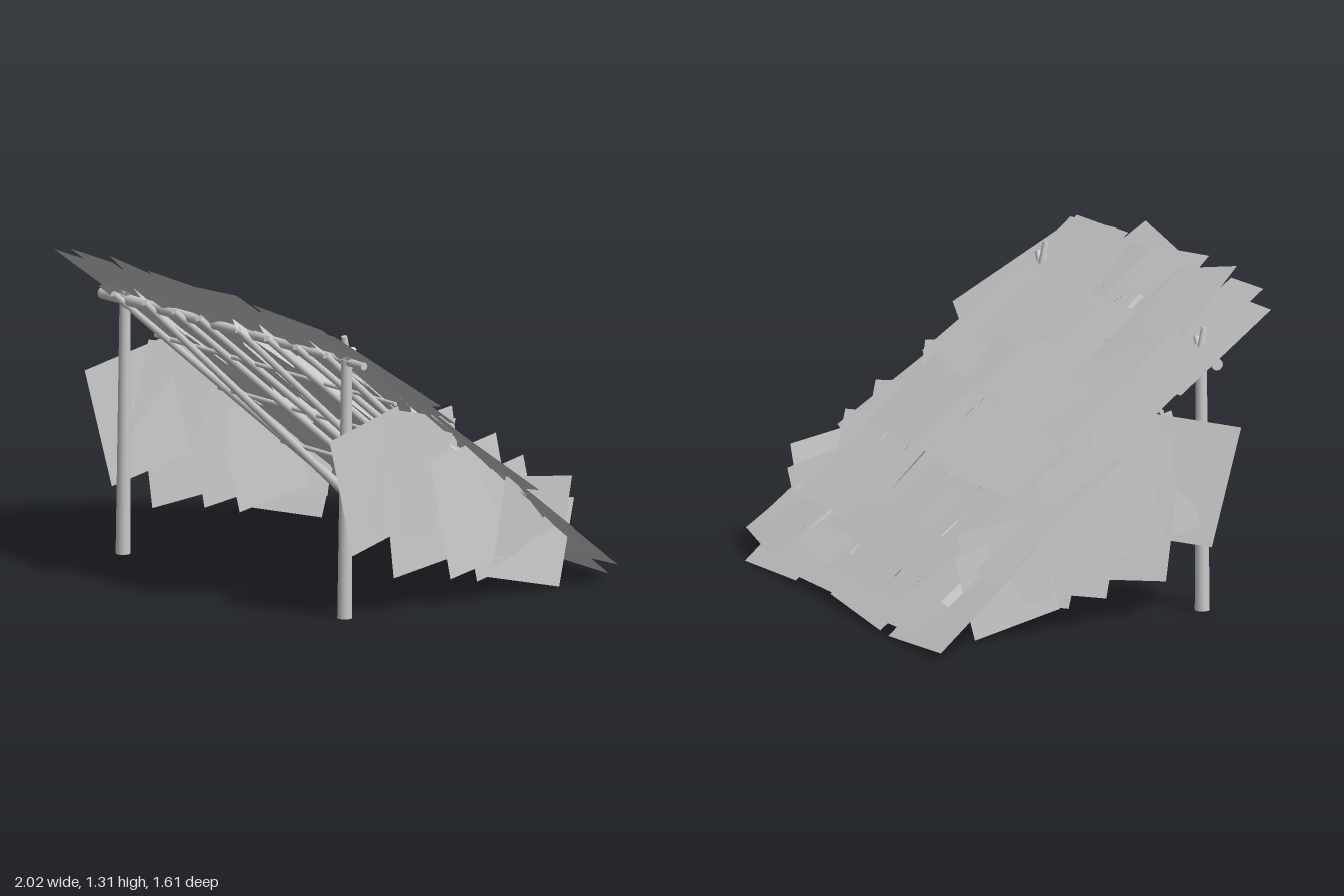
import * as THREE from 'three';

const wood = new THREE.MeshStandardMaterial({ color: 0xcccccc });
const thatch = new THREE.MeshStandardMaterial({ color: 0xcccccc, side: THREE.DoubleSide });
const DEG = Math.PI / 180;
const SLOPE = Math.atan(0.8);

// small seeded generator, values in -1..1
let seed = 11;
function jitter() {
  seed = (seed * 16807) % 2147483647;
  return (seed / 2147483647) * 2 - 1;
}

// tapered pole between two points
function pole(name, a, b, rA, rB = rA) {
  const from = new THREE.Vector3(...a), to = new THREE.Vector3(...b);
  const dir = to.clone().sub(from);
  const mesh = new THREE.Mesh(new THREE.CylinderGeometry(rB, rA, dir.length(), 12), wood);
  mesh.name = name;
  mesh.position.copy(from).add(to).multiplyScalar(0.5);
  mesh.quaternion.setFromUnitVectors(new THREE.Vector3(0, 1, 0), dir.normalize());
  return mesh;
}

// sheet lying on the roof; z and depth are measured on the ground plan, angles in degrees
function roofSheet(name, x, z, width, depth, turn, lift, pitch, roll) {
  const geo = new THREE.PlaneGeometry(width, depth / Math.cos(SLOPE)).rotateX(-Math.PI / 2);
  const mesh = new THREE.Mesh(geo, thatch);
  mesh.name = name;
  mesh.rotation.set(pitch * DEG, turn * DEG, roll * DEG);
  mesh.position.set(x, lift + 0.03 * (1 - (z / 0.8) ** 2), z / Math.cos(SLOPE));
  return mesh;
}

export function createModel() {
  const model = new THREE.Group();
  model.name = 'leanToShelter';

  // forked front posts
  for (const x of [-0.73, 0.73]) {
    const post = new THREE.Group();
    post.name = 'forkedPost';
    post.add(
      pole('postTrunk', [x - 0.015, 0.01, 0.505], [x + 0.005, 1.07, 0.51], 0.03, 0.022),
      pole('forkProng', [x, 1.03, 0.5], [x + 0.008, 1.165, 0.525], 0.021, 0.012),
      pole('forkProng', [x, 1.03, 0.51], [x + 0.05, 1.12, 0.51], 0.015, 0.012),
    );
    model.add(post);
  }

  // ridge beam resting in the forks
  model.add(pole('ridgeBeam', [-0.875, 1.05, 0.51], [0.85, 1.06, 0.51], 0.024, 0.016));

  // sloping rafters
  [-0.71, -0.505, -0.31, -0.15, 0.11, 0.3, 0.49, 0.69].forEach((x, i) => {
    const end = i % 3 === 1 ? [x + 0.01, 0.07, -0.53] : [x + 0.01, 0.06, -0.655];
    model.add(pole('rafter', end, [x, 1.085, 0.58], 0.018, 0.014));
  });

  // thin cross battens
  for (const [y, z] of [[0.865, 0.3], [0.615, 0.0], [0.355, -0.31]]) {
    model.add(pole('batten', [-0.8, y - 0.003, z], [0.78, y, z], 0.01, 0.008));
  }

  // overlapping roof sheets, low row first: x, z, width, depth, turn
  const roof = new THREE.Group();
  roof.name = 'thatchRoof';
  roof.position.y = 0.66;
  roof.rotation.x = -SLOPE;
  const rows = [
    [[-0.77, -0.56, 0.43, 0.46, 5], [-0.52, -0.56, 0.4, 0.42, 3], [-0.28, -0.56, 0.52, 0.46, -4],
      [0.14, -0.55, 0.44, 0.44, 2], [0.53, -0.58, 0.42, 0.44, 4], [0.69, -0.53, 0.34, 0.42, -10]],
    [[-0.76, -0.27, 0.4, 0.46, 4], [-0.3, -0.37, 0.5, 0.46, 3], [0.15, -0.36, 0.5, 0.46, -4],
      [0.6, -0.31, 0.46, 0.46, 3], [0.72, -0.11, 0.34, 0.4, -12]],
    [[-0.76, -0.14, 0.42, 0.42, -4], [-0.28, -0.01, 0.54, 0.46, 4], [0.12, 0, 0.5, 0.46, -4],
      [0.58, 0, 0.5, 0.46, -3], [-0.81, 0.04, 0.26, 0.42, -10]],
    [[-0.73, 0.22, 0.38, 0.42, 5], [-0.35, 0.25, 0.46, 0.46, -4], [0.05, 0.28, 0.46, 0.46, 3],
      [0.36, 0.24, 0.5, 0.44, 2], [0.62, 0.27, 0.4, 0.42, -5]],
    [[-0.73, 0.53, 0.37, 0.4, 4], [-0.62, 0.565, 0.26, 0.43, 5], [-0.39, 0.55, 0.33, 0.46, 20],
      [-0.08, 0.56, 0.36, 0.43, 12], [0.22, 0.565, 0.42, 0.44, -7], [0.6, 0.505, 0.44, 0.44, 4],
      [0.75, 0.41, 0.35, 0.42, -20]],
  ];
  const rowLift = [-0.009, 0.003, 0.006, 0.008, 0.002];
  rows.forEach((row, r) => row.forEach(([x, z, w, d, turn]) => {
    roof.add(roofSheet('roofSheet', x, z, w, d, turn, rowLift[r] + 0.007 * jitter(),
      r * 0.5 + 1.5 * jitter(), 2 * jitter()));
  }));

  // loose second layer beneath the sheets
  for (let r = 0; r < 5; r++) {
    for (let c = 0; c < 5; c++) {
      roof.add(roofSheet('underSheet', -0.64 + c * 0.32 + 0.04 * jitter(), -0.5 + r * 0.255,
        0.36, 0.4, 8 * jitter(), -0.008, 2.5 * jitter(), 3 * jitter()));
    }
  }

  // twisted thatch strands under the sheets
  for (let r = 0; r < 6; r++) {
    for (let c = 0; c < 10; c++) {
      roof.add(roofSheet('thatchStrand', -0.76 + c * 0.168 + 0.03 * jitter(), -0.5 + r * 0.19,
        0.09, 0.26, 7 * jitter(), -0.022, 3 * jitter(), 40 * jitter()));
    }
  }
  model.add(roof);

  // hanging side sheets: z, y, width, height, lean
  const sideSheets = [
    [0.4, 0.565, 0.38, 0.5, 14], [0.24, 0.57, 0.36, 0.5, -14], [0.17, 0.4, 0.36, 0.44, 7],
    [0.15, 0.545, 0.36, 0.5, 8], [-0.08, 0.4, 0.36, 0.5, 10], [-0.22, 0.33, 0.34, 0.42, 12],
    [-0.38, 0.3, 0.36, 0.36, -8], [-0.375, 0.23, 0.38, 0.36, -14],
  ];
  for (const side of [-1, 1]) {
    const wall = new THREE.Group();
    wall.name = side > 0 ? 'leftWall' : 'rightWall';
    sideSheets.forEach(([z, y, w, h, lean], i) => {
      const sheet = new THREE.Mesh(new THREE.PlaneGeometry(w, h).rotateY(Math.PI / 2), thatch);
      sheet.name = 'wallSheet';
      sheet.rotation.set(lean * DEG, side * (i % 2 ? 2 : 5) * DEG, 3 * jitter() * DEG);
      sheet.position.set(side * (0.785 + 0.01 * jitter()), y, z);
      wall.add(sheet);
    });
    model.add(wall);
  }

  return model;
}
